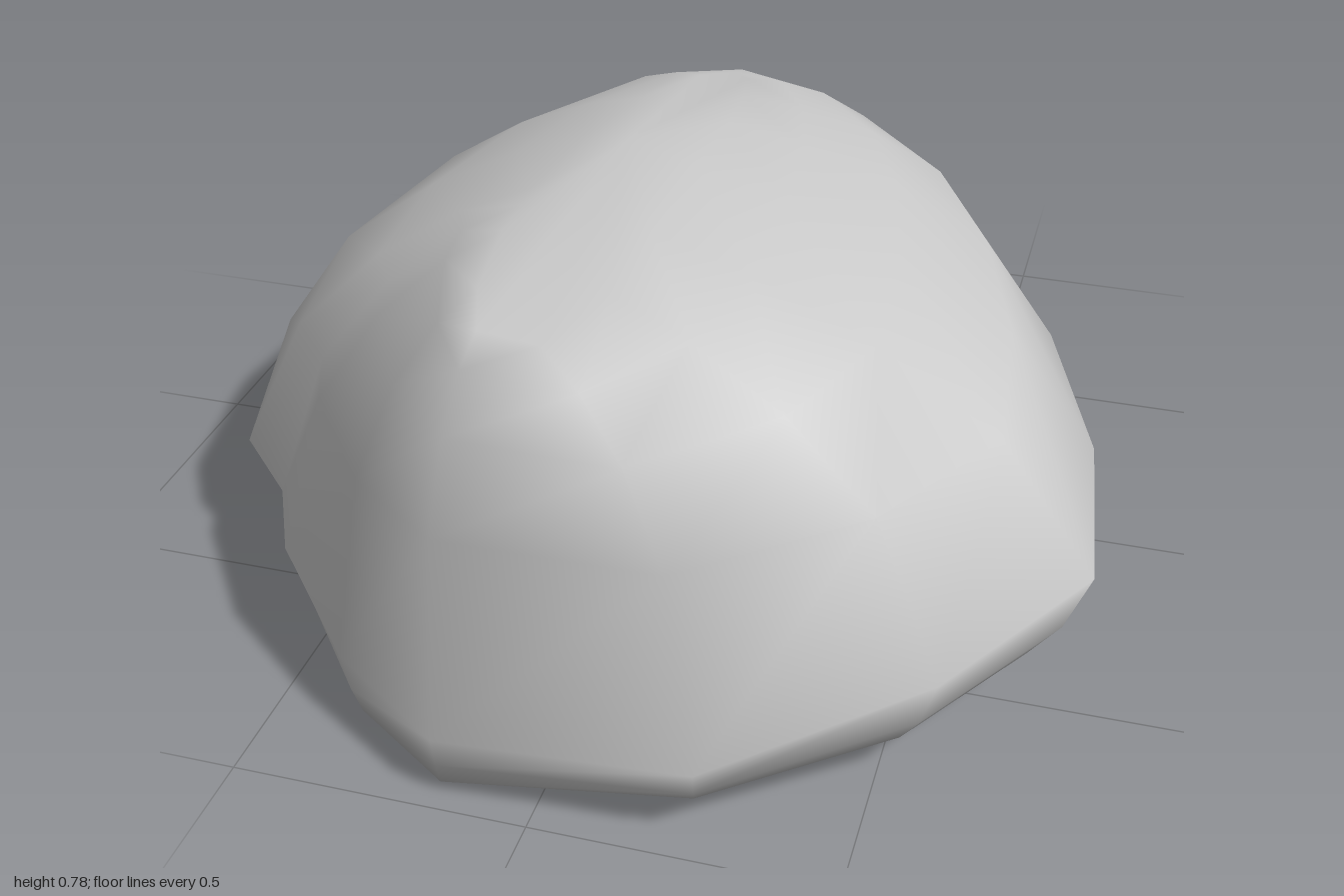
import * as THREE from 'three';

// Columns around the boulder: widest point x, z, y; shoulder roundness; foot scale; foot height
const COLUMNS = [
  [0.27, 1.0, 0.17, 0.95, 0.92, 0.05],
  [0.6, 0.82, 0.27, 1.05, 0.89, 0.08],
  [0.8, 0.57, 0.33, 1.2, 0.88, 0.11],
  [0.76, 0.2, 0.33, 1.22, 0.82, 0.08],
  [0.64, -0.17, 0.33, 1.2, 0.8, 0.06],
  [0.47, -0.51, 0.33, 1.2, 0.8, 0.06],
  [0.21, -0.83, 0.33, 1.25, 0.84, 0.12],
  [-0.13, -1.0, 0.34, 1.35, 0.91, 0.17],
  [-0.49, -0.84, 0.33, 1.35, 0.82, 0.12],
  [-0.75, -0.36, 0.3, 1.38, 0.79, 0.05],
  [-0.8, 0.1, 0.29, 1.35, 0.81, 0.04],
  [-0.73, 0.43, 0.23, 1.25, 0.88, 0.04],
  [-0.63, 0.51, 0.19, 1.2, 0.92, 0.03],
  [-0.57, 0.63, 0.16, 1.15, 0.93, 0.01],
  [-0.37, 0.85, 0.14, 1.05, 0.96, 0],
  [-0.16, 0.98, 0.12, 0.95, 0.98, 0.02],
];

// Crest line that the upper surface rises to
const RIDGE_X = -0.1;
const ridgeY = (z) => 0.79 - 0.165 * (z - 0.5) ** 2;

function boulderGeometry() {
  const n = COLUMNS.length;
  const rings = [];

  // Underside: foot ring, then a rounded ring below the widest line
  rings.push(COLUMNS.map(([x, z, , , s, foot]) => [x * s, foot, z * s]));
  rings.push(COLUMNS.map(([x, z, y, , s, foot]) => {
    const k = 0.45 * s + 0.55;
    return [x * k, foot + (y - foot) * 0.42, z * k];
  }));

  // Upper side: superelliptic shoulders from the widest line to the crest
  for (const degrees of [0, 32, 50, 65, 77]) {
    const t = THREE.MathUtils.degToRad(degrees);
    rings.push(COLUMNS.map(([x, z, y, e]) => {
      const s = Math.cos(t) ** e, h = Math.sin(t) ** e;
      const rz = z * (z > 0 ? 0.76 : 0.6);
      return [
        RIDGE_X + (x - RIDGE_X) * s,
        y + (ridgeY(rz) - y) * h,
        rz + (z - rz) * s,
      ];
    }));
  }

  const points = rings.flat();
  const index = [];
  for (let r = 0; r < rings.length - 1; r++) {
    for (let j = 0; j < n; j++) {
      const a = r * n + j, b = r * n + (j + 1) % n;
      index.push(a, b, b + n, a, b + n, a + n);
    }
  }

  // Closing fans under the base and along the crest
  const base = points.push([-0.05, 0.02, 0.1]) - 1;
  const crest = points.push([RIDGE_X, ridgeY(0.1), 0.1]) - 1;
  const last = (rings.length - 1) * n;
  for (let j = 0; j < n; j++) {
    const k = (j + 1) % n;
    index.push(base, k, j, crest, last + j, last + k);
  }

  const geometry = new THREE.BufferGeometry();
  geometry.setAttribute('position', new THREE.Float32BufferAttribute(points.flat(), 3));
  geometry.setIndex(index);
  geometry.computeVertexNormals();
  return geometry;
}

export function createModel() {
  const group = new THREE.Group();
  group.name = 'rock';
  const boulder = new THREE.Mesh(
    boulderGeometry(),
    new THREE.MeshStandardMaterial({ color: 0xcccccc }),
  );
  boulder.name = 'boulder';
  group.add(boulder);
  return group;
}
